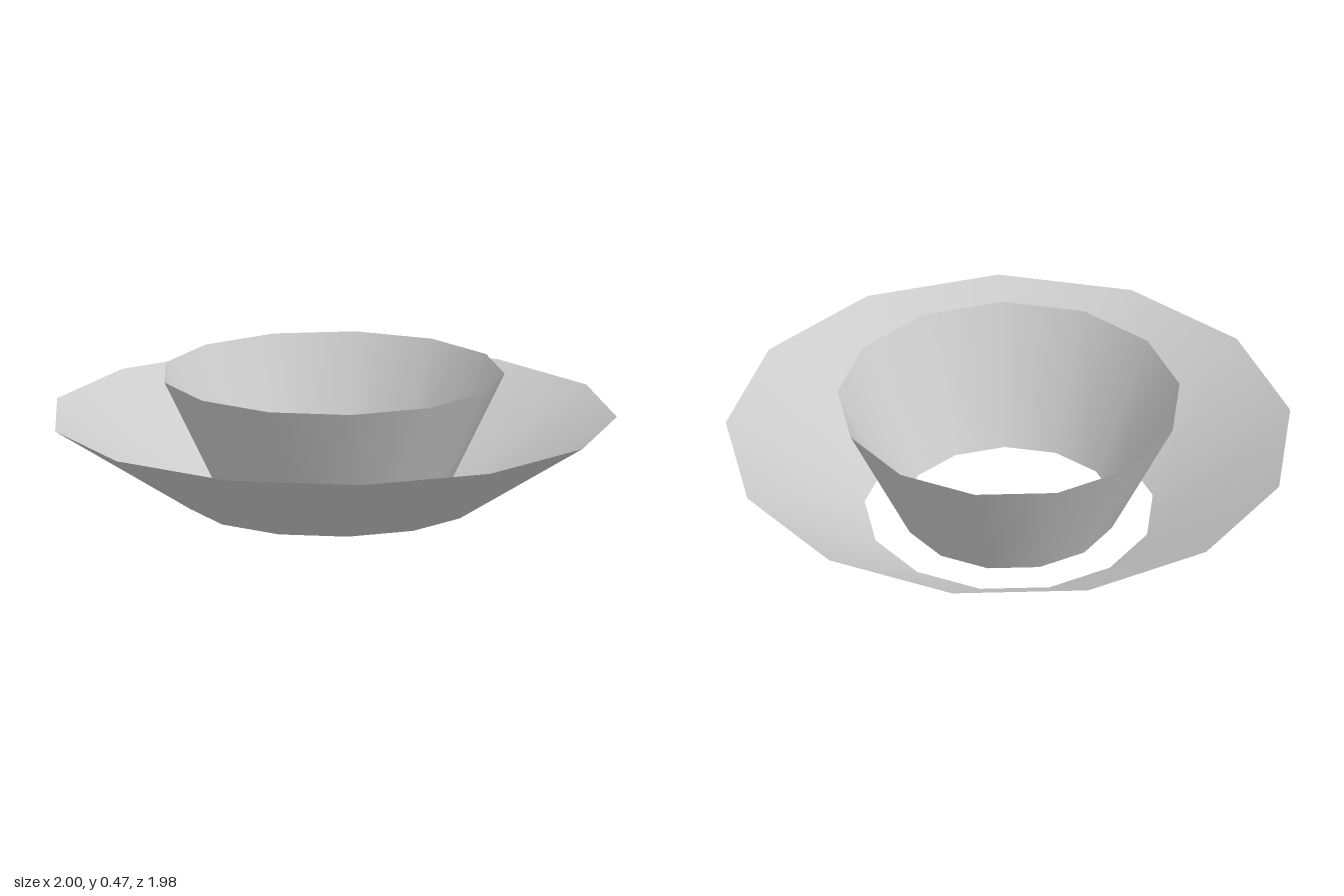
import * as THREE from 'three';

const SIDES = 13;
const material = new THREE.MeshStandardMaterial({ color: 0xcccccc, side: THREE.DoubleSide });

// Open, thin-walled flaring band standing on y = 0
function flare(name, topRadius, bottomRadius, height) {
  const geometry = new THREE.CylinderGeometry(topRadius, bottomRadius, height, SIDES, 1, true);
  geometry.rotateY(Math.PI); // one corner points to the back
  geometry.translate(0, height / 2, 0.015); // odd side count: re-centre in z
  const mesh = new THREE.Mesh(geometry, material);
  mesh.name = name;
  return mesh;
}

export function createModel() {
  const group = new THREE.Group();
  group.name = 'nestedFlares';
  group.add(
    flare('outerFlare', 1.007, 0.514, 0.312), // wide, shallow ring
    flare('innerFlare', 0.61, 0.383, 0.468)   // narrow, steep ring
  );
  return group;
}
